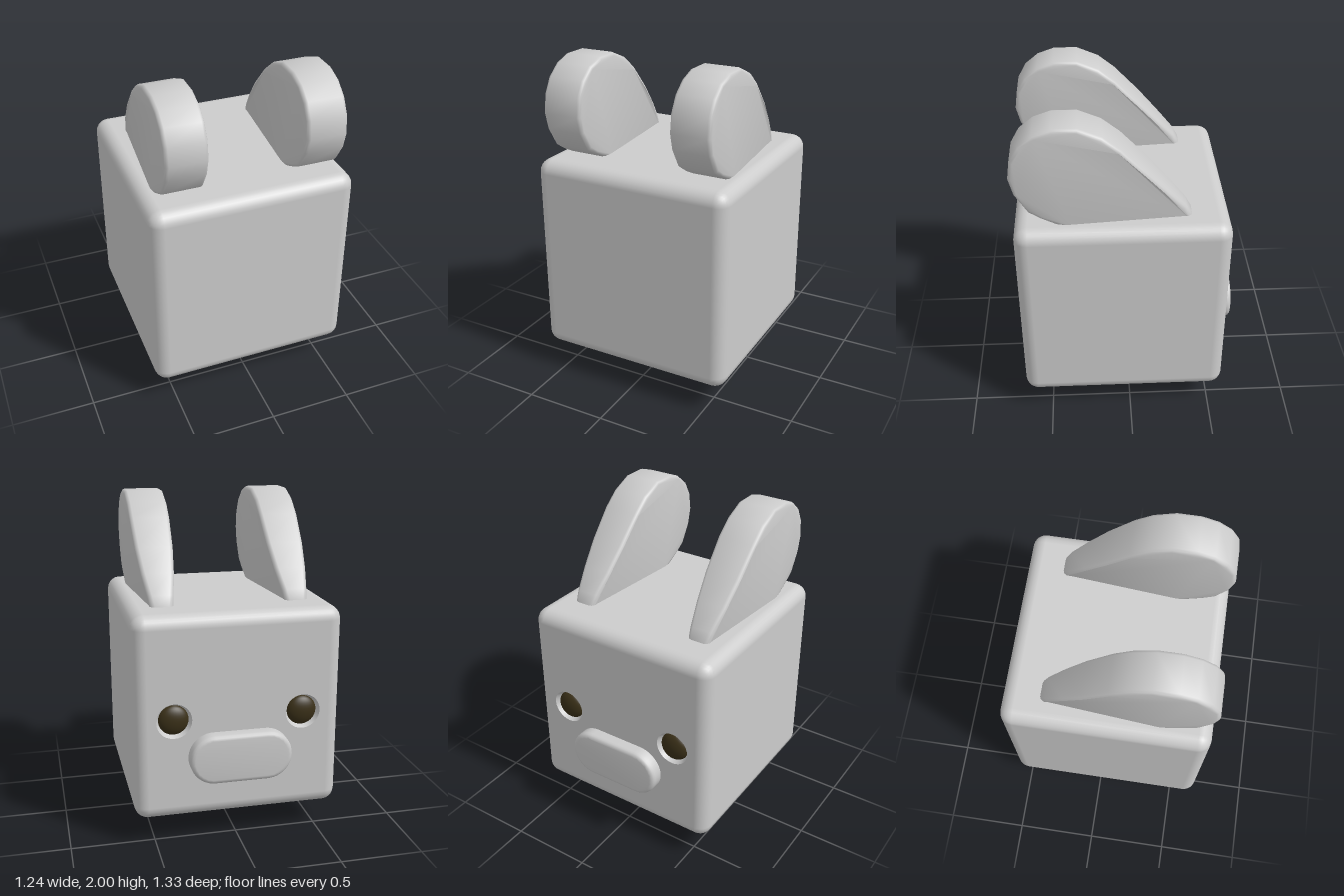
import * as THREE from 'three';
import { toCreasedNormals } from 'three/addons/utils/BufferGeometryUtils.js';
import { RoundedBoxGeometry } from 'three/addons/geometries/RoundedBoxGeometry.js';

const W = 1.24, H = 1.235, R = 0.08;   // body size and edge radius
const CY = 0.7825, CZ = 0.04;          // body centre
const BACK = CZ - W / 2;               // plane carrying the face
const EYE = { x: 0.385, y: 0.78, r: 0.105 };

export function createModel() {
  const model = new THREE.Group();
  model.name = 'cubeAnimal';
  const grey = new THREE.MeshStandardMaterial({ color: 0xcccccc, side: THREE.DoubleSide });
  grey.name = 'light grey';
  const dark = new THREE.MeshStandardMaterial({ color: 0x3a3018 });
  dark.name = 'dark brown';

  const add = (name, geometry, material, x = 0, y = 0, z = 0) => {
    const mesh = new THREE.Mesh(geometry, material);
    mesh.name = name;
    mesh.position.set(x, y, z);
    model.add(mesh);
    return mesh;
  };

  add('body', bodyShell(), grey, 0, CY, CZ);
  add('face', facePanel(), grey, 0, 0, BACK);
  add('snout', snoutGeometry(), grey, 0, 0.547, -0.56);

  for (const [side, s] of [['left', 1], ['right', -1]]) {
    add(side + 'Ear', earGeometry(), grey, s * 0.405);

    // Shallow eye socket with a flattened dome inside
    const socket = new THREE.CylinderGeometry(0.088, EYE.r, 0.035, 28, 1, true);
    socket.rotateX(Math.PI / 2);
    add(side + 'EyeSocket', socket, grey, s * EYE.x, EYE.y, BACK + 0.0175);
    const eye = new THREE.SphereGeometry(1, 28, 16);
    eye.scale(0.09, 0.09, 0.047);
    add(side + 'Eye', eye, dark, s * EYE.x, EYE.y, BACK + 0.035);

    const foot = new THREE.SphereGeometry(1, 24, 16);
    foot.scale(0.112, 0.175, 0.112);
    add(side + 'Foot', foot, grey, s * 0.32, 0.178, -0.15);
  }
  return model;
}

// Rounded cube without the flat part of its -z side
function bodyShell() {
  const box = new RoundedBoxGeometry(W, H, W, 3, R);
  const p = box.attributes.position, n = box.attributes.normal;
  const pos = [], nor = [];
  for (let i = 0; i < p.count; i += 3) {
    const ids = [i, i + 1, i + 2];
    if (ids.every((k) => p.getZ(k) < -W / 2 + 1e-4)) continue;
    for (const k of ids) {
      pos.push(p.getX(k), p.getY(k), p.getZ(k));
      nor.push(n.getX(k), n.getY(k), n.getZ(k));
    }
  }
  const shell = new THREE.BufferGeometry();
  shell.setAttribute('position', new THREE.Float32BufferAttribute(pos, 3));
  shell.setAttribute('normal', new THREE.Float32BufferAttribute(nor, 3));
  return shell;
}

// Flat face with two round eye openings
function facePanel() {
  const x = W / 2 - R, y0 = CY - H / 2 + R, y1 = CY + H / 2 - R;
  const shape = new THREE.Shape([[-x, y0], [x, y0], [x, y1], [-x, y1]].map((p) => new THREE.Vector2(...p)));
  for (const s of [-1, 1]) {
    shape.holes.push(new THREE.Path().absarc(s * EYE.x, EYE.y, EYE.r, 0, Math.PI * 2, true));
  }
  return new THREE.ShapeGeometry(shape, 14).rotateY(Math.PI);
}

// Pill-shaped muzzle with a softened rim
function snoutGeometry() {
  const r = 0.148, half = 0.305 - r, b = 0.025;
  const shape = new THREE.Shape();
  shape.absarc(half, 0, r, -Math.PI / 2, Math.PI / 2);
  shape.absarc(-half, 0, r, Math.PI / 2, Math.PI * 1.5);
  const g = new THREE.ExtrudeGeometry(shape, {
    depth: 0.1 - b, curveSegments: 12, bevelSize: b, bevelThickness: b, bevelOffset: -b, bevelSegments: 3,
  });
  return toCreasedNormals(g.rotateY(Math.PI), 0.7);
}

// Leaf-shaped ear profile in (z, y), narrowing towards its -z tip
function earGeometry() {
  const profile = [
    [-0.36, 1.36], [-0.2, 1.36], [-0.05, 1.36], [0.12, 1.36], [0.34, 1.37], [0.42, 1.4], [0.5, 1.44],
    [0.57, 1.485], [0.64, 1.6], [0.665, 1.7], [0.65, 1.81], [0.6, 1.9], [0.52, 1.965], [0.42, 2],
    [0.28, 2], [0.15, 1.945], [0.05, 1.865], [-0.1, 1.71], [-0.22, 1.575], [-0.32, 1.46], [-0.355, 1.4],
  ].map((p) => new THREE.Vector2(...p));
  const b = 0.02;
  const g = new THREE.ExtrudeGeometry(new THREE.Shape(profile), {
    depth: 2 - 2 * b, bevelSize: b, bevelThickness: b, bevelOffset: -b, bevelSegments: 2,
  });
  g.translate(0, 0, b - 1).rotateY(-Math.PI / 2);
  const p = g.attributes.position;
  for (let i = 0; i < p.count; i++) {
    const t = THREE.MathUtils.clamp((p.getZ(i) + 0.36) / 0.5, 0, 1);
    const width = 0.06 + 0.062 * (1 - Math.pow(1 - t, 2.5));
    // keep the rim bevel depth while scaling the thickness
    const x = p.getX(i), rim = 1 - Math.abs(x);
    p.setX(i, Math.sign(x) * (rim <= b + 1e-6 ? width - rim : width * Math.abs(x)));
  }
  return toCreasedNormals(g, 0.85);
}
